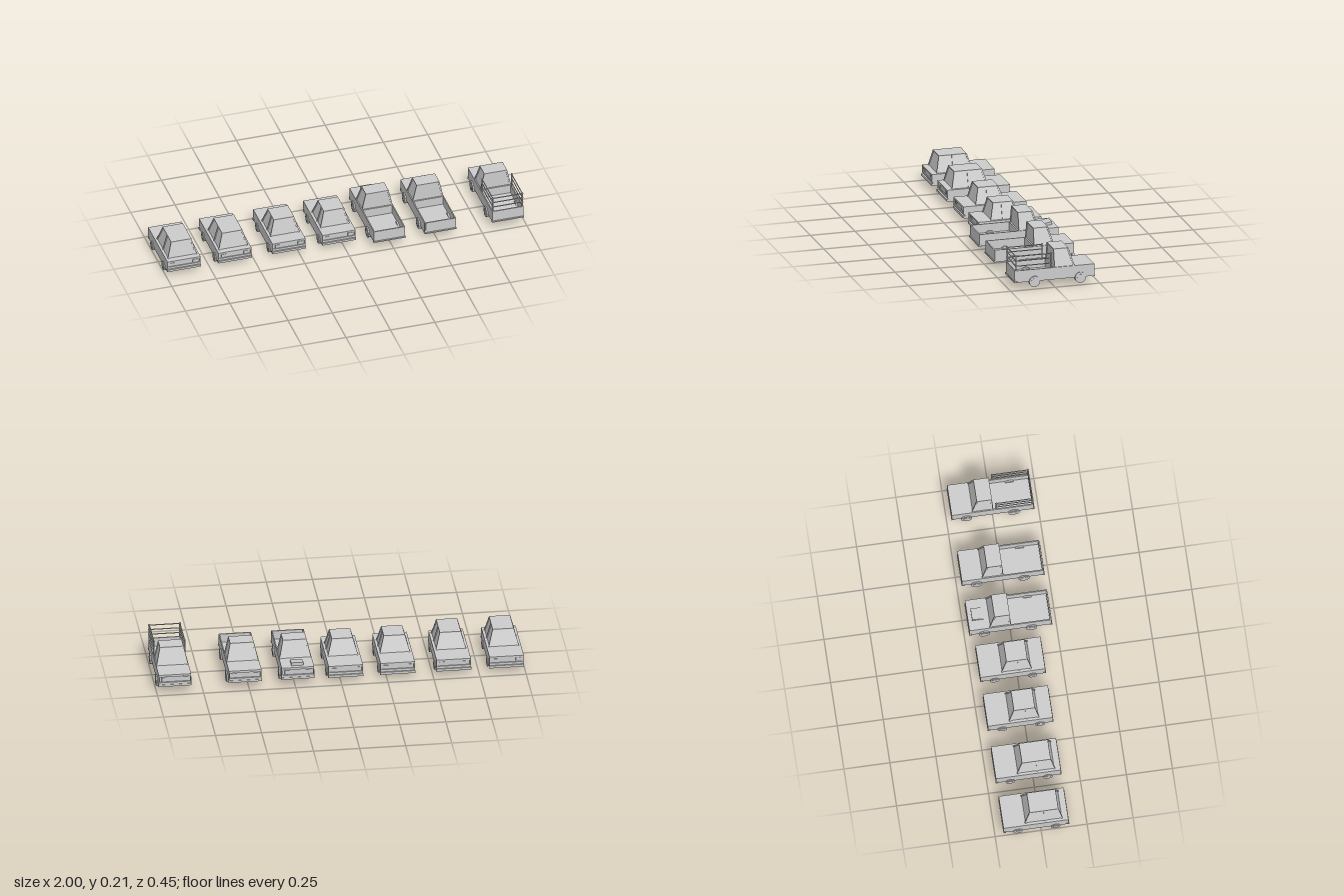
import * as THREE from 'three';

const mat = new THREE.MeshStandardMaterial({ color: 0xcccccc, flatShading: true });

function add(parent, name, geo, x = 0, y = 0, z = 0) {
  const m = new THREE.Mesh(geo, mat);
  m.name = name;
  m.position.set(x, y, z);
  parent.add(m);
  return m;
}

// Box given by its limits
function block(parent, name, x0, x1, y0, y1, z0, z1) {
  return add(parent, name, new THREE.BoxGeometry(x1 - x0, y1 - y0, z1 - z0),
    (x0 + x1) / 2, (y0 + y1) / 2, (z0 + z1) / 2);
}

// Six-sided solid between a bottom and a top rectangle, each [x0, x1, z0, z1]
function loft(parent, name, y0, bottom, y1, top) {
  const g = new THREE.BoxGeometry(1, 1, 1);
  const p = g.attributes.position;
  for (let i = 0; i < p.count; i++) {
    const up = p.getY(i) > 0;
    const r = up ? top : bottom;
    p.setXYZ(i, r[p.getX(i) > 0 ? 1 : 0], up ? y1 : y0, r[p.getZ(i) > 0 ? 3 : 2]);
  }
  g.computeVertexNormals();
  return add(parent, name, g);
}

// Cabin: recessed glass core, corner and middle pillars, roof slab
function cabin(parent, y0, y1, b, t, middle) {
  const g = new THREE.Group();
  g.name = 'cabin';
  parent.add(g);
  const inset = ([w, z0, z1], d) => [-w + d, w - d, z0 + d, z1 - d];
  loft(g, 'windows', y0, inset(b, 0.004), y1 - 0.003, inset(t, 0.004));
  const k = 0.008;
  for (const s of [-1, 1]) {
    const strip = ([w], z0, z1) => (s > 0 ? [w - k, w, z0, z1] : [-w, -w + k, z0, z1]);
    loft(g, 'frontPillar', y0, strip(b, b[1], b[1] + k), y1, strip(t, t[1], t[1] + k));
    loft(g, 'rearPillar', y0, strip(b, b[2] - k, b[2]), y1, strip(t, t[2] - k, t[2]));
    if (middle !== undefined) {
      loft(g, 'middlePillar', y0, strip(b, middle, middle + k), y1, strip(t, middle, middle + k));
    }
  }
  block(g, 'roof', -t[0], t[0], y1 - 0.005, y1, t[1], t[2]);
}

function wheels(parent, r, y, outer, zs) {
  for (const s of [-1, 1]) {
    for (const z of zs) {
      const tire = new THREE.CylinderGeometry(r, r, 0.022, 24).rotateZ(Math.PI / 2);
      add(parent, 'wheel', tire, s * (outer - 0.013), y, z);
      const hub = new THREE.CylinderGeometry(r * 0.62, r * 0.62, 0.004, 24).rotateZ(Math.PI / 2);
      add(parent, 'hub', hub, s * (outer - 0.002), y, z);
    }
  }
}

// Raised rim around a recessed end panel, with a lamp at each side
function endPanel(parent, name, w, y0, y1, zIn, zOut) {
  const g = new THREE.Group();
  g.name = name;
  parent.add(g);
  const a = Math.min(zIn, zOut), c = Math.max(zIn, zOut);
  const h = (y1 - y0) * 0.22;
  block(g, 'upperRim', -w, w, y1 - h, y1, a, c);
  block(g, 'lowerRim', -w, w, y0, y0 + h, a, c);
  for (const s of [-1, 1]) {
    const e = s * (w - 0.006), lamp = s * (w - 0.03);
    block(g, 'sideRim', Math.min(e, s * w), Math.max(e, s * w), y0 + h, y1 - h, a, c);
    add(g, 'lamp', new THREE.BoxGeometry(0.026, (y1 - y0) * 0.4, (c - a) * 0.6),
      lamp, (y0 + y1) / 2, zIn + (zOut - zIn) * 0.3);
  }
}

function car(x, longCabin) {
  const g = new THREE.Group();
  g.name = longCabin ? 'longRoofCar' : 'shortRoofCar';
  g.position.x = x;
  const w = 0.093;
  loft(g, 'body', 0.026, [-w, w, -0.197, 0.145], 0.092, [-w, w, -0.197, 0.145]);
  endPanel(g, 'frontPanel', w, 0.044, 0.092, -0.197, -0.203);
  endPanel(g, 'rearPanel', w, 0.048, 0.092, 0.145, 0.15);
  block(g, 'frontBumper', -0.095, 0.095, 0.024, 0.038, -0.204, -0.19);
  block(g, 'rearBumper', -0.095, 0.095, 0.03, 0.042, 0.14, 0.154);
  const back = longCabin ? 0.12 : 0.078;
  cabin(g, 0.092, 0.183, [0.082, -0.086, back], [0.057, -0.056, back - 0.02],
    longCabin ? 0.02 : 0.005);
  wheels(g, 0.025, 0.025, 0.1, [-0.125, 0.08]);
  return g;
}

function truck(x) {
  const g = new THREE.Group();
  g.name = 'pickup';
  g.position.x = x;
  const w = 0.088, y0 = 0.042, y1 = 0.109, t = 0.006;
  block(g, 'frontBody', -w, w, y0, y1, -0.215, 0.004);
  endPanel(g, 'grille', w, 0.052, y1, -0.215, -0.223);
  block(g, 'frontBumper', -0.09, 0.09, 0.04, 0.052, -0.225, -0.21);
  // Open cargo bed
  block(g, 'bedFloor', -w, w, y0, 0.06, 0.004, 0.222);
  for (const s of [-1, 1]) {
    const c = s * (w - t / 2);
    block(g, 'bedSide', c - t / 2, c + t / 2, 0.06, y1, 0.004, 0.222);
  }
  block(g, 'tailgate', -w + t, w - t, 0.06, y1, 0.216, 0.223);
  block(g, 'rearBumper', -0.09, 0.09, 0.041, 0.048, 0.21, 0.227);
  cabin(g, y1, 0.206, [0.086, -0.113, 0], [0.064, -0.084, -0.001]);
  wheels(g, 0.03, 0.041, 0.097, [-0.143, 0.114]);
  return g;
}

// Stake rails around three sides of the bed
function rails(parent) {
  const g = new THREE.Group();
  g.name = 'cargoRails';
  parent.add(g);
  const x = 0.083, zf = 0.02, zr = 0.216, r = 0.003;
  for (const s of [-1, 1]) {
    for (const z of [zf, zr]) {
      add(g, 'post', new THREE.CylinderGeometry(0.004, 0.004, 0.084, 8), s * x, 0.15, z);
      add(g, 'postCap', new THREE.SphereGeometry(0.005, 8, 6), s * x, 0.191, z);
    }
  }
  for (const y of [0.134, 0.1625, 0.189]) {
    for (const s of [-1, 1]) {
      const side = new THREE.CylinderGeometry(r, r, zr - zf + 0.012, 8).rotateX(Math.PI / 2);
      add(g, 'sideRail', side, s * x, y, (zf + zr) / 2);
    }
    const rear = new THREE.CylinderGeometry(r, r, 2 * x + 0.012, 8).rotateZ(Math.PI / 2);
    add(g, 'rearRail', rear, 0, y, zr);
  }
}

export function createModel() {
  const model = new THREE.Group();
  model.name = 'vehicleRow';
  model.add(car(-0.9, true), car(-0.613, true), car(-0.309, false), car(-0.027, false));

  const scoopTruck = truck(0.235), plainTruck = truck(0.521), stakeTruck = truck(0.902);
  // Wedge-shaped hood scoop, opening toward the nose
  loft(scoopTruck, 'hoodScoop', 0.108, [-0.033, 0.033, -0.201, -0.138],
    0.127, [-0.033, 0.033, -0.201, -0.138]);
  const scoop = scoopTruck.getObjectByName('hoodScoop').geometry;
  const p = scoop.attributes.position;
  for (let i = 0; i < p.count; i++) {
    if (p.getY(i) > 0.12 && p.getZ(i) > -0.15) p.setY(i, 0.115);
  }
  scoop.computeVertexNormals();
  rails(stakeTruck);
  model.add(scoopTruck, plainTruck, stakeTruck);
  return model;
}
